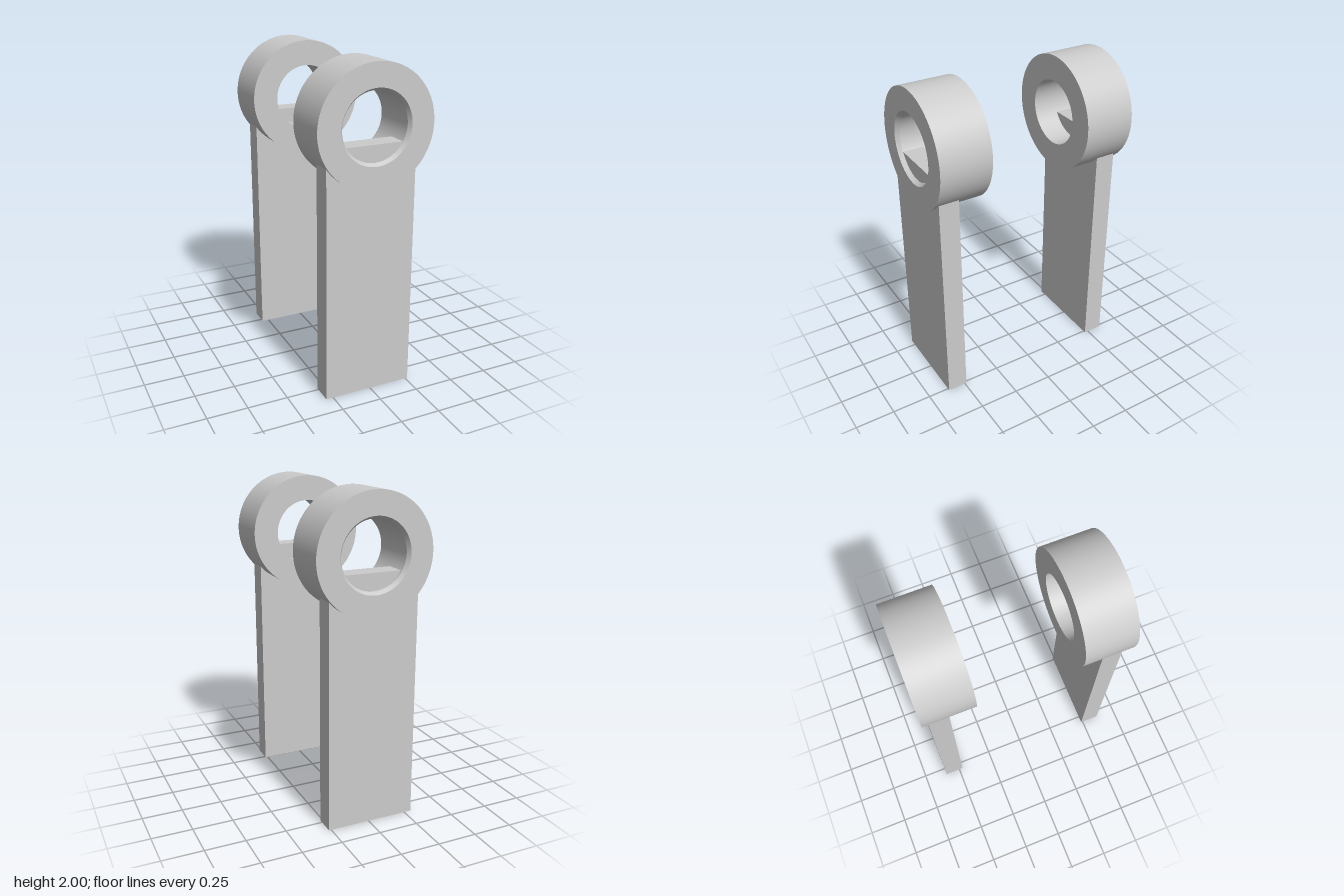
import * as THREE from 'three';
import { toCreasedNormals } from 'three/addons/utils/BufferGeometryUtils.js';

const RING_Y = 1.64, OUTER = 0.36, BORE = 0.203, LIP = 0.219;
const material = new THREE.MeshStandardMaterial({ color: 0xcccccc });

// Thick ring along z, with its bore chamfered on the +z end
function ringGeometry(depth, chamfer) {
  const h = depth / 2;
  const profile = [
    [BORE, -h], [OUTER, -h], [OUTER, h], [LIP, h], [BORE, h - chamfer], [BORE, -h],
  ].map(([r, z]) => new THREE.Vector2(r, z));
  const lathe = new THREE.LatheGeometry(profile, 96);
  lathe.rotateX(Math.PI / 2);
  return toCreasedNormals(lathe, Math.PI / 6);
}

function addMesh(parent, name, geometry, x, y, z) {
  const mesh = new THREE.Mesh(geometry, material);
  mesh.name = name;
  mesh.position.set(x, y, z);
  parent.add(mesh);
  return mesh;
}

export function createModel() {
  const model = new THREE.Group();
  model.name = 'bearingSupports';
  const ring = ringGeometry(0.322, 0.025);
  const plate = new THREE.BoxGeometry(0.56, 1.54, 0.127);

  // Front and back supports: upright plate reaching into the ring's bore
  for (const [name, side, plateZ] of [['front', 1, 0.552], ['back', -1, -0.538]]) {
    const support = new THREE.Group();
    support.name = name + 'Support';
    const ringMesh = addMesh(support, name + 'Ring', ring, 0, RING_Y, side * 0.481);
    if (side < 0) ringMesh.rotation.y = Math.PI; // chamfer faces outward
    addMesh(support, name + 'Plate', plate, -0.015, 0.77, plateZ);
    model.add(support);
  }
  return model;
}
